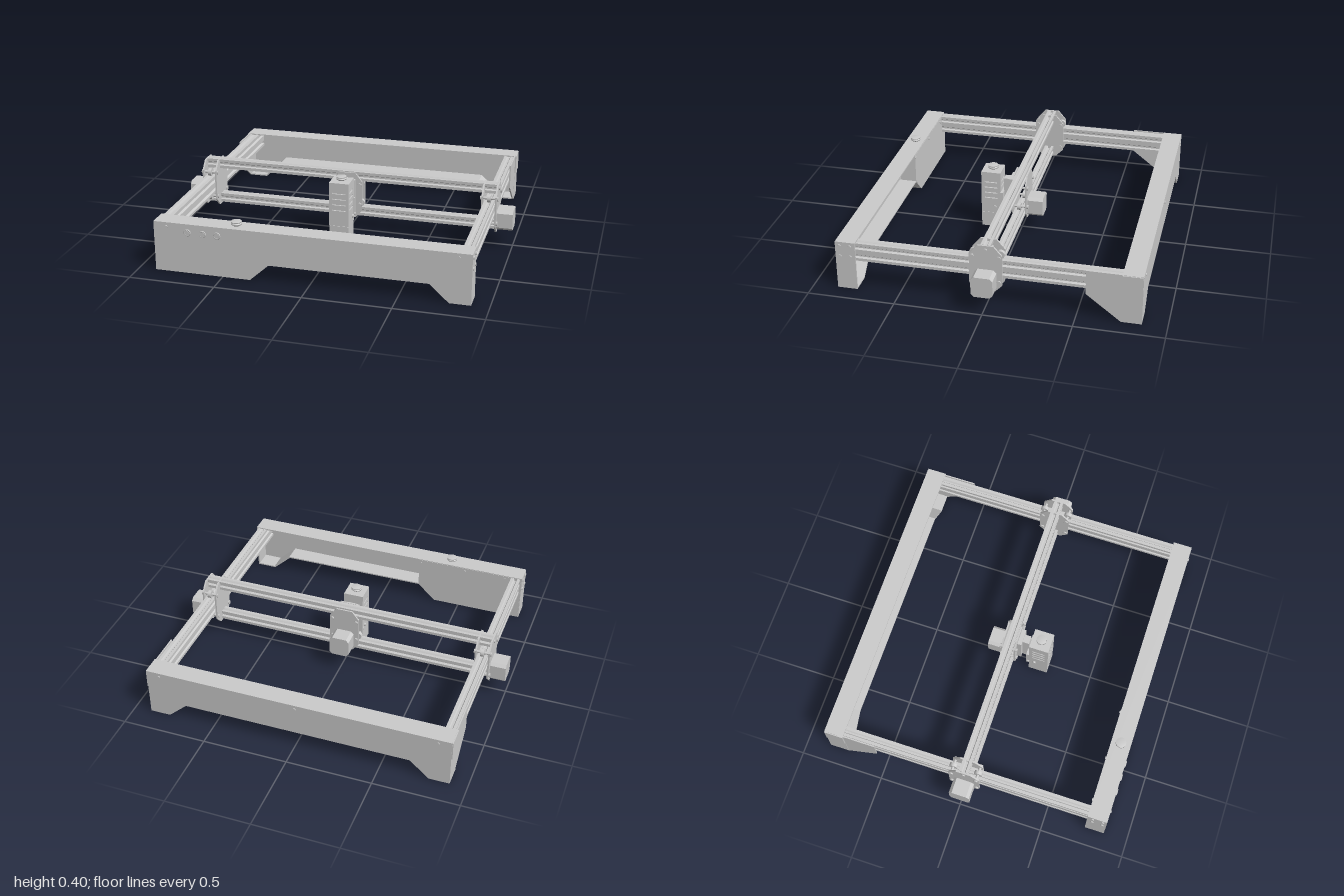
import * as THREE from 'three';

const material = new THREE.MeshStandardMaterial({ color: 0xcccccc, side: THREE.DoubleSide });

function add(parent, name, geometry, x = 0, y = 0, z = 0) {
  const mesh = new THREE.Mesh(geometry, material);
  mesh.name = name;
  mesh.position.set(x, y, z);
  parent.add(mesh);
  return mesh;
}

// Box given by its limits on each axis
function box(parent, name, x0, x1, y0, y1, z0, z1) {
  return add(parent, name, new THREE.BoxGeometry(x1 - x0, y1 - y0, z1 - z0), (x0 + x1) / 2, (y0 + y1) / 2, (z0 + z1) / 2);
}

// Cylinder along the chosen axis
function rod(parent, name, r, length, axis, x, y, z, sides = 20) {
  const g = new THREE.CylinderGeometry(r, r, length, sides);
  if (axis === 'x') g.rotateZ(Math.PI / 2);
  if (axis === 'z') g.rotateX(Math.PI / 2);
  return add(parent, name, g, x, y, z);
}

const toShape = pts => new THREE.Shape(pts.map(p => new THREE.Vector2(...p)));
const extrude = (shape, depth) => new THREE.ExtrudeGeometry(shape, { depth, bevelEnabled: false, curveSegments: 8 });

// Outline in (z, y) extruded along +x, starting at x
function sidePlate(parent, name, pts, x, depth) {
  const g = extrude(toShape(pts.map(([z, y]) => [-z, y])), depth);
  g.rotateY(Math.PI / 2);
  return add(parent, name, g, x, 0, 0);
}

// Inward offset of a counter-clockwise outline
function inset(pts, d) {
  const n = pts.length;
  return pts.map((p, i) => {
    const a = pts[(i + n - 1) % n], b = pts[(i + 1) % n];
    const u = new THREE.Vector2(p[0] - a[0], p[1] - a[1]).normalize();
    const v = new THREE.Vector2(b[0] - p[0], b[1] - p[1]).normalize();
    const k = d / (1 + u.dot(v));
    return [p[0] - (u.y + v.y) * k, p[1] + (u.x + v.x) * k];
  });
}

// Slotted aluminium profile, nx by ny cells, centred on the origin and running along z
function slottedBar(nx, ny, w, h, length) {
  const pts = [];
  const corners = [[-w / 2, -h / 2], [w / 2, -h / 2], [w / 2, h / 2], [-w / 2, h / 2]];
  corners.forEach(([ax, ay], i) => {
    const [bx, by] = corners[(i + 1) % 4];
    const len = Math.hypot(bx - ax, by - ay), tx = (bx - ax) / len, ty = (by - ay) / len;
    const cells = i % 2 ? ny : nx;
    pts.push([ax, ay]);
    for (let c = 0; c < cells; c++) {
      const m = (c + 0.5) * len / cells;
      for (const [s, d] of [[-0.011, 0], [-0.007, 0.005], [-0.013, 0.006], [-0.007, 0.015], [0.007, 0.015], [0.013, 0.006], [0.007, 0.005], [0.011, 0]])
        pts.push([ax + tx * (m + s) - ty * d, ay + ty * (m + s) + tx * d]);
    }
  });
  const g = extrude(toShape(pts), length);
  g.translate(0, 0, -length / 2);
  return g;
}

// Sheet channel: outer wall plus a rim, open towards the inside of the frame
function channel(parent, name, outline, side) {
  const part = new THREE.Group();
  part.name = name;
  parent.add(part);
  const rim = toShape(outline);
  rim.holes.push(new THREE.Path(inset(outline, 0.008).reverse().map(p => new THREE.Vector2(...p))));
  add(part, 'rim', extrude(rim, 0.115), 0, 0, side > 0 ? 0.745 : -0.86);
  add(part, 'outerWall', extrude(toShape(outline), 0.008), 0, 0, side > 0 ? 0.852 : -0.86);
  for (const s of [-1, 1]) {
    rod(part, 'faceScrew', 0.009, 0.006, 'z', s * 0.825, 0.27, side * 0.862, 12);
    for (const z of [0.775, 0.835]) for (const y of [0.205, 0.27])
      rod(part, 'endScrew', 0.01, 0.008, 'x', s * 0.902, y, side * z, 12);
  }
  return part;
}

// Stepper motor body with chamfered corners, running along +z
function motorGeometry(size, depth) {
  const a = size / 2, c = size * 0.14, pts = [];
  for (const [x, y] of [[a - c, -a], [a, c - a], [a, a - c], [a - c, a], [c - a, a], [-a, a - c], [-a, c - a], [c - a, -a]]) pts.push([x, y]);
  return extrude(toShape(pts), depth);
}

function knob(parent, name, x, y, z) {
  const profile = [[0, 0], [0.018, 0], [0.018, 0.006], [0.03, 0.008], [0.03, 0.014], [0.024, 0.017], [0.024, 0.019], [0.03, 0.021], [0.03, 0.026], [0, 0.026]];
  add(parent, name, new THREE.LatheGeometry(profile.map(p => new THREE.Vector2(...p)), 24), x, y, z);
}

export function createModel() {
  const model = new THREE.Group();
  model.name = 'gantryEngraver';

  // Front and back channels
  const front = channel(model, 'frontChannel', [[-0.9, 0], [-0.34, 0], [-0.23, 0.1], [0.67, 0.1], [0.78, 0], [0.9, 0], [0.9, 0.295], [-0.9, 0.295]], 1);
  const back = channel(model, 'backChannel', [[-0.9, 0], [-0.78, 0], [-0.67, 0.1], [0.67, 0.1], [0.78, 0], [0.9, 0], [0.9, 0.295], [-0.9, 0.295]], -1);
  rod(back, 'faceScrew', 0.009, 0.006, 'z', 0, 0.27, -0.862, 12);

  // Control housing closing the front channel on one side
  add(front, 'controlHousing', extrude(toShape([[-0.895, 0.004], [-0.342, 0.004], [-0.23, 0.104], [-0.23, 0.291], [-0.895, 0.291]]), 0.1), 0, 0, 0.743);
  for (const x of [-0.79, -0.53, -0.24]) rod(front, 'housingScrew', 0.008, 0.006, 'z', x, 0.27, 0.741, 12);
  for (const x of [-0.7, -0.61, -0.525]) {
    add(front, 'buttonRing', new THREE.TorusGeometry(0.017, 0.004, 8, 24), x, 0.245, 0.861);
    rod(front, 'button', 0.014, 0.01, 'z', x, 0.245, 0.861);
  }
  knob(front, 'stopKnob', -0.43, 0.295, 0.8);

  for (const s of [-1, 1]) {
    // Side rails and the cable guards at the back
    add(model, 'sideRail', slottedBar(1, 2, 0.058, 0.11, 1.7), s * 0.859, 0.235, 0);
    sidePlate(model, 'sideGuard', [[-0.55, 0.295], [-0.55, 0.15], [-0.745, 0], [-0.76, 0], [-0.76, 0.295]], s * 0.895 - 0.004, 0.008);
    box(model, 'cornerBracket', s * 0.903 - 0.003, s * 0.903 + 0.003, 0.18, 0.293, -0.858, -0.745);

    // Gantry end carriage: two plates, wheels and a motor
    const end = new THREE.Group();
    end.name = 'gantryEnd';
    model.add(end);
    const plate = [[-0.092, 0.14], [-0.045, 0.092], [0.045, 0.092], [0.092, 0.14], [0.092, 0.325], [0.045, 0.38], [-0.045, 0.38], [-0.092, 0.325]];
    sidePlate(end, 'outerPlate', plate, s * 0.901 - 0.005, 0.01);
    sidePlate(end, 'innerPlate', plate, s * 0.821 - 0.005, 0.01);
    for (const z of [-0.075, 0.075]) for (const y of [0.312, 0.158]) {
      rod(end, 'wheel', 0.024, 0.02, 'x', s * 0.86, y, z, 24);
      rod(end, 'wheelAxle', 0.008, 0.1, 'x', s * 0.861, y, z, 12);
      rod(end, 'axleNut', 0.013, 0.01, 'x', s * 0.909, y, z, 6);
      rod(end, 'axleNut', 0.013, 0.01, 'x', s * 0.813, y, z, 6);
    }
    for (const y of [0.353, 0.132]) rod(end, 'beamScrew', 0.011, 0.008, 'x', s * 0.908, y, 0, 12);
    const motor = add(end, 'sideMotor', motorGeometry(0.122, 0.096), s * 0.904, 0.172, 0);
    motor.rotation.y = s * Math.PI / 2;
  }

  // Upper and lower gantry beams
  for (const [name, y] of [['upperBeam', 0.353], ['lowerBeam', 0.132]]) {
    const g = slottedBar(1, 1, 0.056, 0.056, 1.79);
    g.rotateY(Math.PI / 2);
    add(model, name, g, 0, y, 0);
  }

  // Tool carriage riding between the beams
  const carriage = new THREE.Group();
  carriage.name = 'toolCarriage';
  model.add(carriage);
  const carriagePlate = [[-0.05, 0.095], [0.05, 0.095], [0.09, 0.14], [0.09, 0.325], [0.05, 0.378], [-0.05, 0.378], [-0.09, 0.325], [-0.09, 0.14]];
  add(carriage, 'backPlate', extrude(toShape(carriagePlate), 0.009), 0, 0, -0.045);
  add(carriage, 'frontPlate', extrude(toShape(carriagePlate), 0.009), 0, 0, 0.034);
  for (const x of [-0.075, 0.075]) for (const y of [0.305, 0.18]) {
    rod(carriage, 'wheel', 0.022, 0.02, 'z', x, y, 0, 24);
    rod(carriage, 'wheelAxle', 0.007, 0.1, 'z', x, y, 0, 12);
    rod(carriage, 'axleNut', 0.013, 0.01, 'z', x, y, 0.048, 6);
    rod(carriage, 'axleNut', 0.013, 0.01, 'z', x, y, -0.05, 6);
  }
  const motor = add(carriage, 'carriageMotor', motorGeometry(0.12, 0.094), 0, 0.172, -0.045);
  motor.rotation.y = Math.PI;

  // Mount between the carriage and the laser head
  box(carriage, 'mountBlock', -0.05, 0.05, 0.14, 0.34, 0.043, 0.068);
  box(carriage, 'mountSlide', -0.025, 0.025, 0.13, 0.33, 0.068, 0.108);
  box(carriage, 'mountClamp', -0.065, 0.065, 0.13, 0.25, 0.104, 0.122);
  for (const x of [-0.066, 0.066]) for (const z of [0.115, 0.155]) rod(carriage, 'clampScrew', 0.01, 0.01, 'x', x, 0.15, z, 12);

  // Laser head with cooling slots and a knob on top
  const laser = new THREE.Group();
  laser.name = 'laserHead';
  model.add(laser);
  box(laser, 'nozzleHousing', -0.059, 0.059, 0.015, 0.108, 0.121, 0.237);
  box(laser, 'lowerBody', -0.06, 0.06, 0.11, 0.205, 0.12, 0.238);
  box(laser, 'coolingCore', -0.05, 0.05, 0.1, 0.33, 0.13, 0.228);
  for (const x of [-0.05, 0.05]) for (const z of [0.13, 0.228]) box(laser, 'cornerPost', x - 0.01, x + 0.01, 0.2, 0.33, z - 0.01, z + 0.01);
  for (const y of [0.215, 0.25, 0.285]) box(laser, 'coolingFin', -0.06, 0.06, y, y + 0.025, 0.12, 0.238);
  box(laser, 'topBody', -0.06, 0.06, 0.32, 0.378, 0.12, 0.238);
  knob(laser, 'focusKnob', 0, 0.378, 0.178);
  return model;
}
